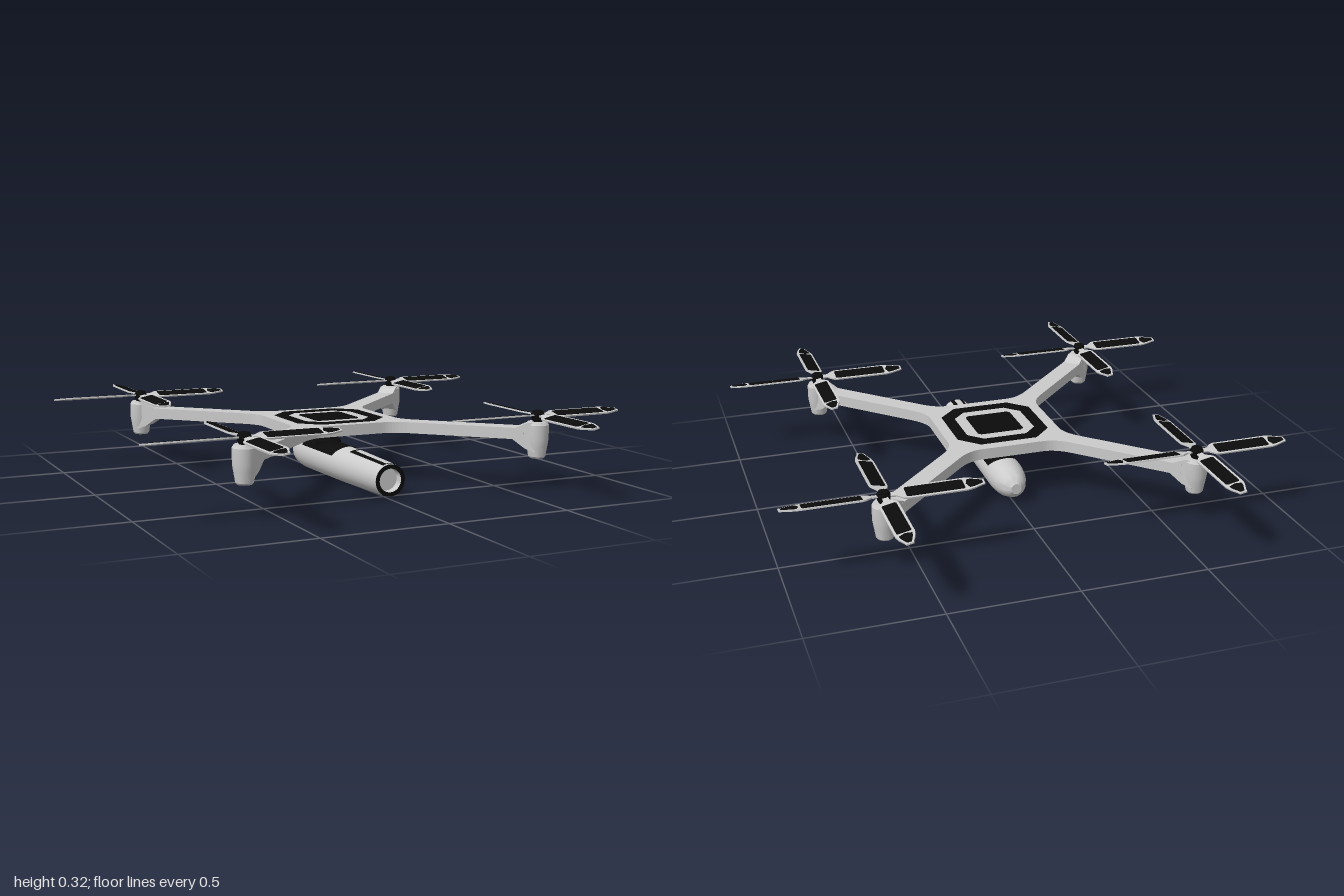
import * as THREE from 'three';
import { toCreasedNormals } from 'three/addons/utils/BufferGeometryUtils.js';

const grey = new THREE.MeshStandardMaterial({ color: 0xcccccc, side: THREE.DoubleSide });
const black = new THREE.MeshStandardMaterial({ color: 0x0b0b0b, side: THREE.DoubleSide });

function mesh(name, geometry, material, parent) {
  const m = new THREE.Mesh(geometry, material);
  m.name = name;
  parent.add(m);
  return m;
}

const shapeOf = (pts) => new THREE.Shape(pts.map(([x, y]) => new THREE.Vector2(x, y)));

// Flat outline lying in the ground plane, raised from y0 to y1
function slab(shape, y0, y1) {
  const g = new THREE.ExtrudeGeometry(shape, { depth: y1 - y0, bevelEnabled: false, curveSegments: 8 });
  return g.rotateX(-Math.PI / 2).translate(0, y0, 0);
}

function lathe(profile, segments = 32) {
  const g = new THREE.LatheGeometry(profile.map(([r, y]) => new THREE.Vector2(r, y)), segments);
  return toCreasedNormals(g, 0.5);
}

// Curved panel on the upper side of a cylinder that runs along z
function topShell(rFront, rBack, z0, z1, halfAngle) {
  const g = new THREE.CylinderGeometry(rFront, rBack, z1 - z0, 16, 1, true, Math.PI - halfAngle, 2 * halfAngle);
  return g.rotateX(Math.PI / 2);
}

// Square with cut corners
function octagon(h, cut) {
  const c = h - cut;
  return [[h, -c], [h, c], [c, h], [-c, h], [-h, c], [-h, -c], [-c, -h], [c, -h]];
}

// Body plate and four diagonal arms in one outline
function frameShape() {
  const h = 0.238, w = 0.055, end = 0.615;
  const s = new THREE.Shape();
  for (let i = 0; i < 4; i++) {
    const a = i * Math.PI / 2, c = Math.cos(a), n = Math.sin(a);
    const p = (x, y) => [x * c - y * n, x * n + y * c];
    if (i === 0) s.moveTo(...p(h, 0));
    s.lineTo(...p(h, 0.13));
    s.quadraticCurveTo(...p(h, h - w), ...p(0.29, 0.29 - w));
    s.lineTo(...p(end, end - w));
    s.lineTo(...p(end - w, end));
    s.lineTo(...p(0.29 - w, 0.29));
    s.quadraticCurveTo(...p(h - w, h), ...p(0.13, h));
  }
  s.closePath();
  return s;
}

// Four pitched blades around a hub, with dark panels on their upper faces
function rotor() {
  const g = new THREE.Group();
  const half = [[0.012, 0.01], [0.045, 0.012], [0.07, 0.032], [0.085, 0.036], [0.31, 0.036],
    [0.335, 0.03], [0.365, 0.018], [0.38, 0.014]];
  const blade = slab(shapeOf([...half.map(([x, y]) => [x, -y]), ...half.slice().reverse()]), -0.003, 0.003);
  const panel = slab(shapeOf([[0.08, -0.022], [0.085, -0.027], [0.295, -0.027], [0.3, -0.022],
    [0.3, 0.022], [0.295, 0.027], [0.085, 0.027], [0.08, 0.022]]), 0.003, 0.0045);
  const tip = slab(shapeOf([[0.308, 0], [0.318, -0.024], [0.335, -0.022], [0.372, -0.008],
    [0.372, 0.008], [0.335, 0.022], [0.318, 0.024]]), 0.003, 0.0045);
  for (let i = 0; i < 4; i++) {
    const turn = new THREE.Group();
    turn.name = 'blade';
    turn.rotation.y = i * Math.PI / 2;
    const pitch = new THREE.Group();
    pitch.rotation.x = 0.2;
    turn.add(pitch);
    mesh('bladeBody', blade, grey, pitch);
    mesh('bladePanel', panel, black, pitch);
    mesh('bladeTip', tip, black, pitch);
    g.add(turn);
  }
  mesh('hub', lathe([[0, -0.027], [0.018, -0.027], [0.025, -0.012], [0.026, 0.006], [0.02, 0.018], [0, 0.023]], 20), black, g);
  return g;
}

export function createModel() {
  const model = new THREE.Group();
  model.name = 'quadcopter';

  // Frame with inlaid top panels
  const frame = new THREE.Group();
  frame.name = 'frame';
  model.add(frame);
  mesh('framePlate', slab(frameShape(), 0.2, 0.245), grey, frame);
  const ring = shapeOf(octagon(0.193, 0.075));
  ring.holes.push(new THREE.Path(octagon(0.145, 0.055).map(([x, y]) => new THREE.Vector2(x, y)).reverse()));
  mesh('topRing', slab(ring, 0.243, 0.247), black, frame);
  mesh('topPanel', slab(shapeOf(octagon(0.097, 0.012)), 0.243, 0.247), black, frame);

  // Motor pods, gussets and rotors at the arm ends
  const pod = lathe([[0, 0.125], [0.028, 0.125], [0.034, 0.132], [0.041, 0.175], [0.045, 0.2],
    [0.045, 0.258], [0.038, 0.27], [0, 0.27]], 24);
  const gusset = new THREE.ExtrudeGeometry(
    shapeOf([[0.785, 0.2], [0.835, 0.165], [0.877, 0.15], [0.877, 0.268], [0.845, 0.268], [0.795, 0.245]]),
    { depth: 0.076, bevelEnabled: false }).translate(0, 0, -0.038);
  for (let i = 0; i < 4; i++) {
    const a = Math.PI / 4 + i * Math.PI / 2;
    const x = 0.62 * Math.SQRT2 * Math.cos(a), z = -0.62 * Math.SQRT2 * Math.sin(a);
    mesh('motorPod', pod, grey, model).position.set(x, 0, z);
    mesh('armGusset', gusset, grey, model).rotation.y = a;
    const r = rotor();
    r.name = 'rotor';
    r.position.set(x, 0.295, z);
    model.add(r);
  }

  // Slung barrel with recessed front
  const barrel = new THREE.Group();
  barrel.name = 'barrel';
  barrel.position.y = 0.0735;
  model.add(barrel);
  mesh('barrelBody', lathe([[0, -0.29], [0.022, -0.29], [0.03, -0.28], [0.038, -0.275], [0.048, -0.262],
    [0.066, -0.215], [0.0735, -0.16], [0.0735, -0.1], [0.072, 0.2], [0.071, 0.25], [0.063, 0.555],
    [0.047, 0.555], [0.044, 0.525], [0, 0.525]]).rotateX(Math.PI / 2), grey, barrel);
  mesh('muzzleRing', new THREE.RingGeometry(0.046, 0.063, 32), black, barrel).position.z = 0.5565;
  mesh('topStrip', topShell(0.0655, 0.0728, 0.265, 0.55, 0.44), black, barrel).position.z = 0.4075;
  mesh('topStripInlay', topShell(0.0665, 0.0738, 0.285, 0.545, 0.2), grey, barrel).position.z = 0.415;

  // Saddle clasping the barrel, its ends drawn in towards the lower edges
  const saddle = topShell(0.0755, 0.0755, -0.15, 0.2, Math.PI / 3);
  const pos = saddle.attributes.position;
  for (let i = 0; i < pos.count; i++) {
    pos.setZ(i, pos.getZ(i) * (1 - 0.17 * (pos.getX(i) / 0.065) ** 2));
  }
  mesh('saddle', saddle, black, barrel).position.z = 0.025;

  // Flared neck joining the saddle to the frame
  mesh('neck', lathe([[0.056, 0.115], [0.052, 0.148], [0.04, 0.158], [0.033, 0.175], [0.032, 0.203]], 24), black, model);

  return model;
}
